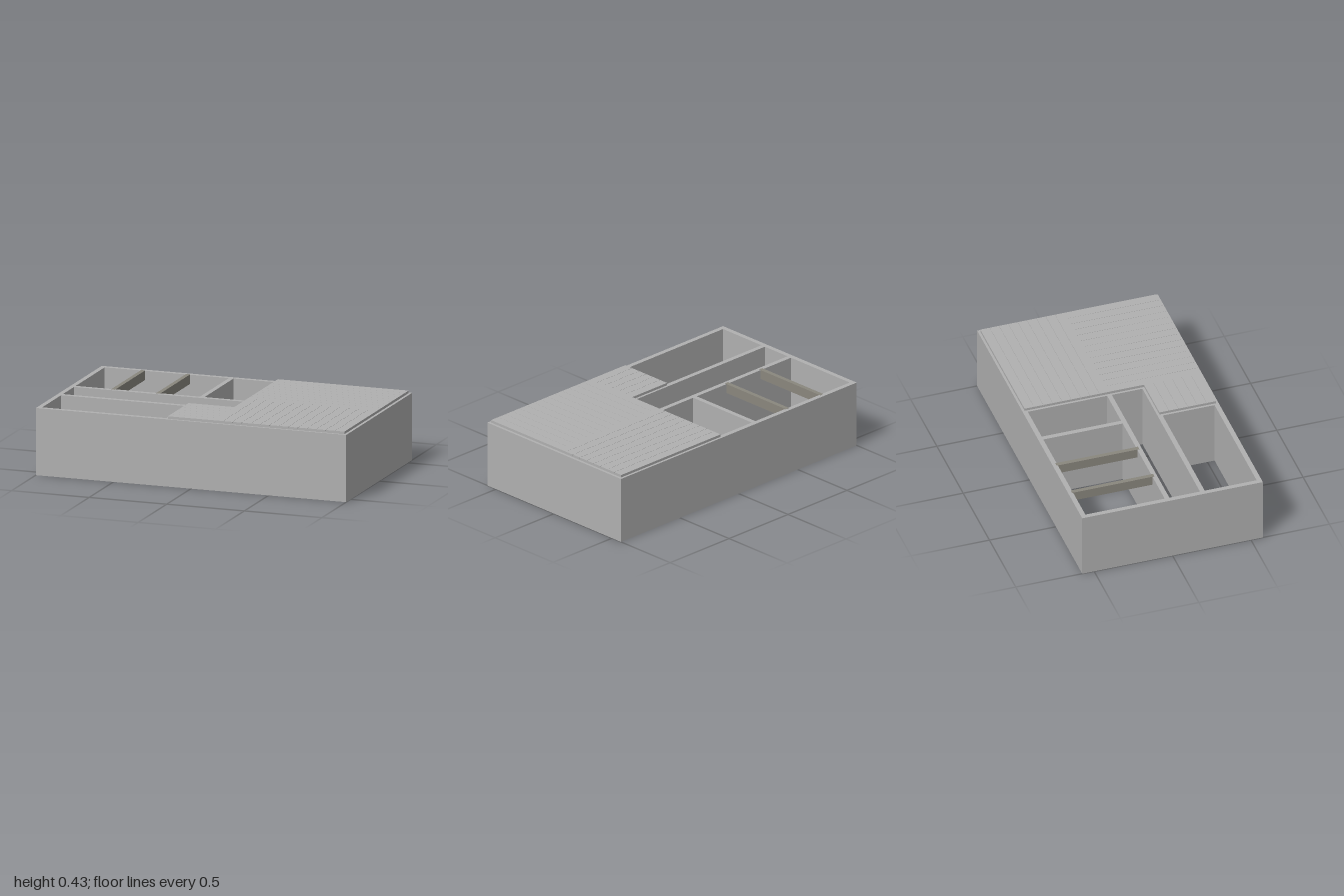
import * as THREE from 'three';

const wallGrey = new THREE.MeshStandardMaterial({ color: 0xb0b0b0 });
wallGrey.name = 'wallGrey';
const beamGrey = new THREE.MeshStandardMaterial({ color: 0x8a877e });
beamGrey.name = 'beamGrey';

const WALL_TOP = 0.418, ROOF_TOP = 0.434;

// Box given by its limits on each axis
function addBox(parent, name, material, [x0, x1], [y0, y1], [z0, z1]) {
  const mesh = new THREE.Mesh(new THREE.BoxGeometry(x1 - x0, y1 - y0, z1 - z0), material);
  mesh.position.set((x0 + x1) / 2, (y0 + y1) / 2, (z0 + z1) / 2);
  mesh.name = name;
  parent.add(mesh);
}

// Rectangle in plan, drawn into a shape or hole path
function rectangle(path, [x0, x1], [z0, z1]) {
  path.moveTo(x0, -z1);
  path.lineTo(x1, -z1);
  path.lineTo(x1, -z0);
  path.lineTo(x0, -z0);
  path.closePath();
  return path;
}

// Outer and inner walls: one solid block pierced by the rooms
function createWalls() {
  const plan = rectangle(new THREE.Shape(), [-1, 1], [-0.576, 0.576]);
  const split = [[-0.97, -0.17], [-0.14, 0.125], [0.155, 0.97]];
  const rows = [
    { z: [-0.546, -0.04], rooms: split },
    { z: [-0.01, 0.185], rooms: [[-0.97, 0.125], [0.155, 0.97]] },
    { z: [0.215, 0.546], rooms: split },
  ];
  for (const { z, rooms } of rows)
    for (const x of rooms) plan.holes.push(rectangle(new THREE.Path(), x, z));
  const geometry = new THREE.ExtrudeGeometry(plan, { depth: WALL_TOP, bevelEnabled: false });
  geometry.rotateX(-Math.PI / 2);
  const walls = new THREE.Mesh(geometry, wallGrey);
  walls.name = 'walls';
  return walls;
}

// Roof section: thin underlay carrying evenly spaced boards with fine gaps
function createRoofSection(name, x, z, count, alongX) {
  const section = new THREE.Group();
  section.name = name;
  const seam = WALL_TOP + 0.01, gap = 0.0015;
  addBox(section, 'underlay', wallGrey, x, [WALL_TOP, seam], z);
  const [start, end] = alongX ? z : x;
  const pitch = (end - start) / count;
  for (let i = 0; i < count; i++) {
    const span = [
      start + i * pitch + (i > 0 ? gap / 2 : 0),
      start + (i + 1) * pitch - (i < count - 1 ? gap / 2 : 0),
    ];
    addBox(section, 'roofBoard', wallGrey, alongX ? x : span, [seam, ROOF_TOP], alongX ? span : z);
  }
  return section;
}

export function createModel() {
  const model = new THREE.Group();
  model.name = 'building';
  model.add(createWalls());

  // Ceiling beams across the open back room
  for (const x of [-0.725, -0.435])
    addBox(model, 'ceilingBeam', beamGrey, [x - 0.0135, x + 0.0135], [0.36, WALL_TOP + 0.001], [-0.553, -0.027]);

  // Boarded roof over the left side and the small front room
  model.add(createRoofSection('backRoof', [0.14, 0.983], [-0.561, -0.025], 9, true));
  model.add(createRoofSection('frontRoof', [0.14, 0.983], [-0.025, 0.561], 14, false));
  model.add(createRoofSection('sideRoof', [-0.155, 0.14], [0.2, 0.561], 6, true));
  return model;
}
